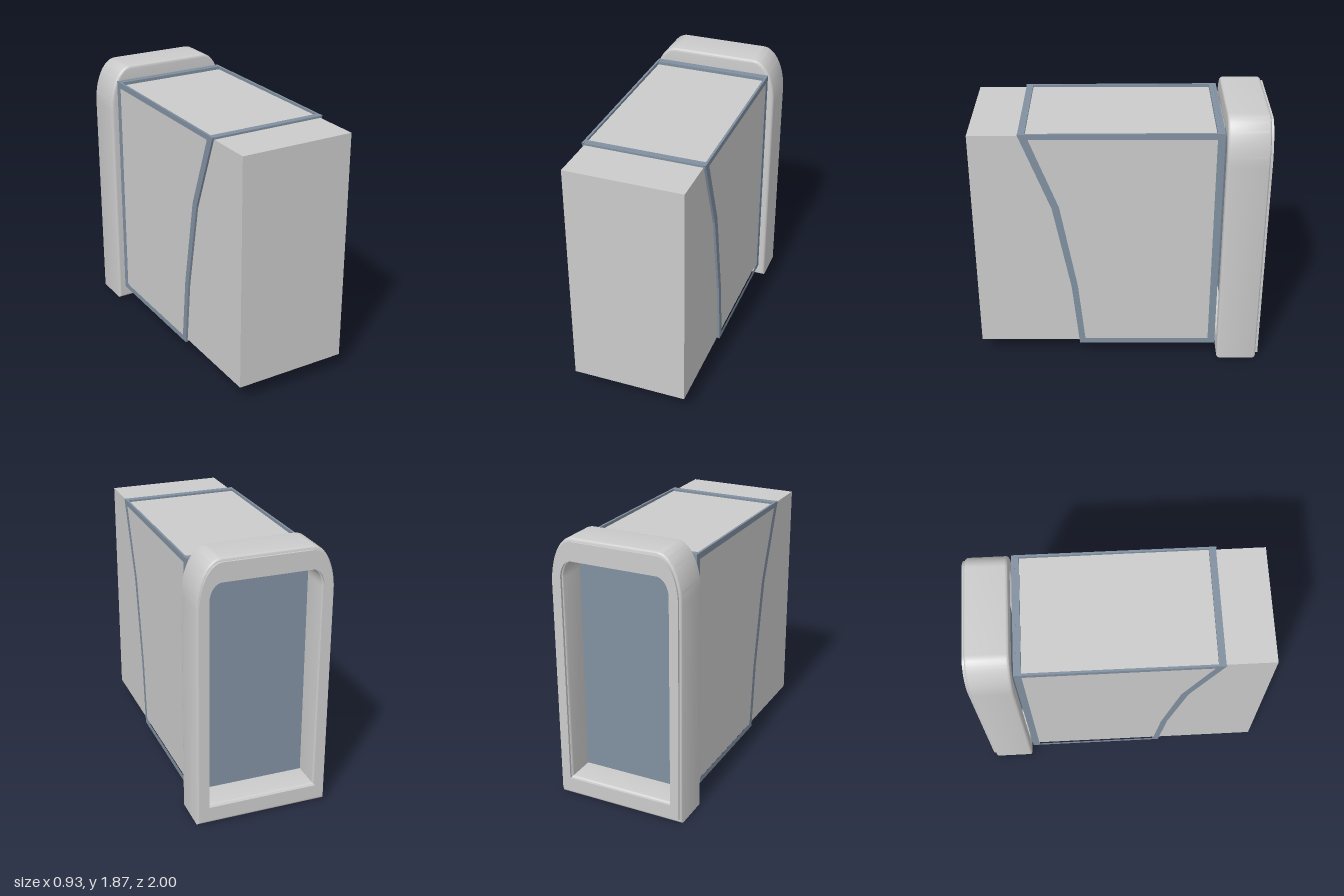
import * as THREE from 'three';
import { toCreasedNormals } from 'three/addons/utils/BufferGeometryUtils.js';

const grey = new THREE.MeshStandardMaterial({ color: 0xcccccc });
const blue = new THREE.MeshStandardMaterial({ color: 0x8190a0 });

const polygon = (pts) => new THREE.Shape(pts.map(([x, y]) => new THREE.Vector2(x, y)));

// Upright outline with elliptical top corners and a straight base
function arch(Type, w, y0, y1, rx, ry) {
  const s = new Type();
  s.moveTo(-w, y0);
  s.lineTo(w, y0);
  s.lineTo(w, y1 - ry);
  s.absellipse(w - rx, y1 - ry, rx, ry, 0, Math.PI / 2, false, 0);
  s.lineTo(-w + rx, y1);
  s.absellipse(-w + rx, y1 - ry, rx, ry, Math.PI / 2, Math.PI, false, 0);
  s.lineTo(-w, y0);
  return s;
}

export function createModel() {
  const model = new THREE.Group();

  const add = (name, geometry, material) => {
    const mesh = new THREE.Mesh(geometry, material);
    mesh.name = name;
    model.add(mesh);
    return mesh;
  };
  // Box given by its limits on each axis
  const block = (name, material, w, y0, y1, z0, z1) => {
    const mesh = add(name, new THREE.BoxGeometry(2 * w, y1 - y0, z1 - z0), material);
    mesh.position.set(0, (y0 + y1) / 2, (z0 + z1) / 2);
  };

  // Main body
  block('body', grey, 0.405, 0.12, 1.755, -0.67, 1);

  // Side trim: bent ring drawn as (z, y), one on each side
  const ring = polygon([[0.67, 1.77], [0.46, 1.22], [0.34, 0.59], [0.29, 0.1], [-0.68, 0.1], [-0.68, 1.778]]);
  ring.holes.push(polygon([[0.6, 1.735], [0.41, 1.23], [0.295, 0.59], [0.25, 0.14], [-0.635, 0.14], [-0.635, 1.735]]));
  const ringGeometry = new THREE.ExtrudeGeometry(ring, { depth: 0.015, bevelEnabled: false });
  ringGeometry.rotateY(-Math.PI / 2);
  add('leftTrim', ringGeometry, blue).position.x = 0.42;
  add('rightTrim', ringGeometry, blue).position.x = -0.405;

  // Cross trim over the top and bottom, and the closed back
  block('topFrontTrim', blue, 0.415, 1.75, 1.769, 0.62, 0.667);
  block('topBackTrim', blue, 0.415, 1.75, 1.777, -0.68, -0.635);
  block('bottomBackTrim', blue, 0.415, 0.1, 0.125, -0.68, -0.635);
  block('backPanel', blue, 0.42, 0.1, 1.778, -0.685, -0.665);

  // Curved front trim under the body, drawn as (x, z)
  const edge = [[-0.415, 0.29], [-0.15, 0.25], [0.15, 0.25], [0.415, 0.29]];
  const bar = polygon([...edge, ...edge.map(([x, z]) => [x, z - 0.042]).reverse()]);
  const barGeometry = new THREE.ExtrudeGeometry(bar, { depth: 0.025, bevelEnabled: false });
  barGeometry.rotateX(Math.PI / 2);
  add('bottomFrontTrim', barGeometry, blue).position.y = 0.125;

  // Rear window frame with softened edges
  const bevel = 0.02;
  const frame = arch(THREE.Shape, 0.465, 0, 1.87, 0.165, 0.32);
  frame.holes.push(arch(THREE.Path, 0.375, 0.14, 1.71, 0.08, 0.12));
  const frameGeometry = new THREE.ExtrudeGeometry(frame, {
    depth: 0.285 - 2 * bevel, bevelSize: bevel, bevelThickness: bevel,
    bevelOffset: -bevel, bevelSegments: 4, curveSegments: 16,
  });
  add('windowFrame', toCreasedNormals(frameGeometry, 0.6), grey).position.z = -0.985 + bevel;

  // Thin raised rim on the back of the frame
  const rim = arch(THREE.Shape, 0.448, 0.035, 1.848, 0.15, 0.3);
  rim.holes.push(arch(THREE.Path, 0.385, 0.13, 1.72, 0.085, 0.125));
  const rimGeometry = new THREE.ExtrudeGeometry(rim, { depth: 0.02, bevelEnabled: false, curveSegments: 16 });
  add('frameRim', toCreasedNormals(rimGeometry, 0.6), grey).position.z = -1;

  // Window pane set into the frame
  block('windowPane', blue, 0.385, 0.13, 1.72, -0.78, -0.765);

  return model;
}
